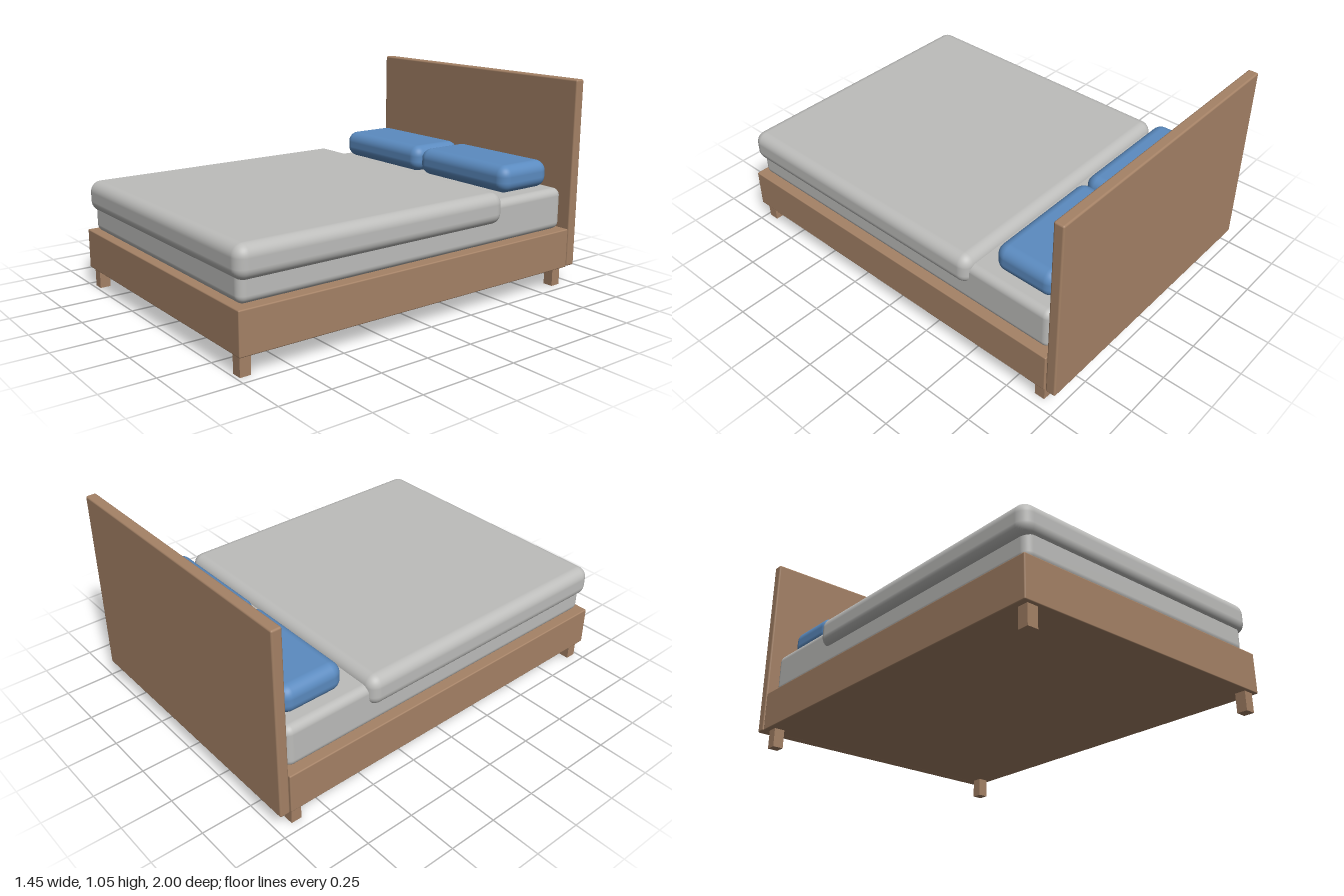
import * as THREE from 'three';
import { RoundedBoxGeometry } from 'three/addons/geometries/RoundedBoxGeometry.js';

export function createModel() {
  const bed = new THREE.Group();
  bed.name = 'bed';

  const material = (name, color) => {
    const m = new THREE.MeshStandardMaterial({ color });
    m.name = name;
    return m;
  };
  const wood = material('wood', 0xa58266);
  const linen = material('linen', 0xbdbdbb);
  const blue = material('pillowBlue', 0x5b8bc0);

  // Box from min/max extents, with rounded edges when a radius is given
  const block = (name, mat, [x0, x1], [y0, y1], [z0, z1], radius = 0, segments = 5) => {
    const size = [x1 - x0, y1 - y0, z1 - z0];
    const geometry = radius
      ? new RoundedBoxGeometry(...size, segments, radius)
      : new THREE.BoxGeometry(...size);
    const mesh = new THREE.Mesh(geometry, mat);
    mesh.name = name;
    mesh.position.set((x0 + x1) / 2, (y0 + y1) / 2, (z0 + z1) / 2);
    bed.add(mesh);
  };

  // Wooden base and headboard
  block('frame', wood, [-0.727, 0.727], [0.095, 0.295], [-0.943, 1], 0.006, 2);
  block('headboard', wood, [-0.727, 0.727], [0.097, 1.05], [-1, -0.948], 0.009, 2);

  // Bedding
  block('mattress', linen, [-0.69, 0.69], [0.293, 0.505], [-0.926, 0.974], 0.038);
  block('duvet', linen, [-0.72, 0.72], [0.395, 0.55], [-0.485, 0.994], 0.055);

  // Mirrored pillows and legs
  for (const [side, s] of [['left', 1], ['right', -1]]) {
    const span = (a, b) => (s > 0 ? [a, b] : [-b, -a]);
    block(side + 'Pillow', blue, span(0.006, 0.63), [0.505, 0.643], [-0.89, -0.565], 0.055);
    block(side + 'FrontLeg', wood, span(0.647, 0.7), [0, 0.1], [0.931, 0.984]);
    block(side + 'BackLeg', wood, span(0.647, 0.7), [0, 0.1], [-0.925, -0.872]);
  }

  return bed;
}
